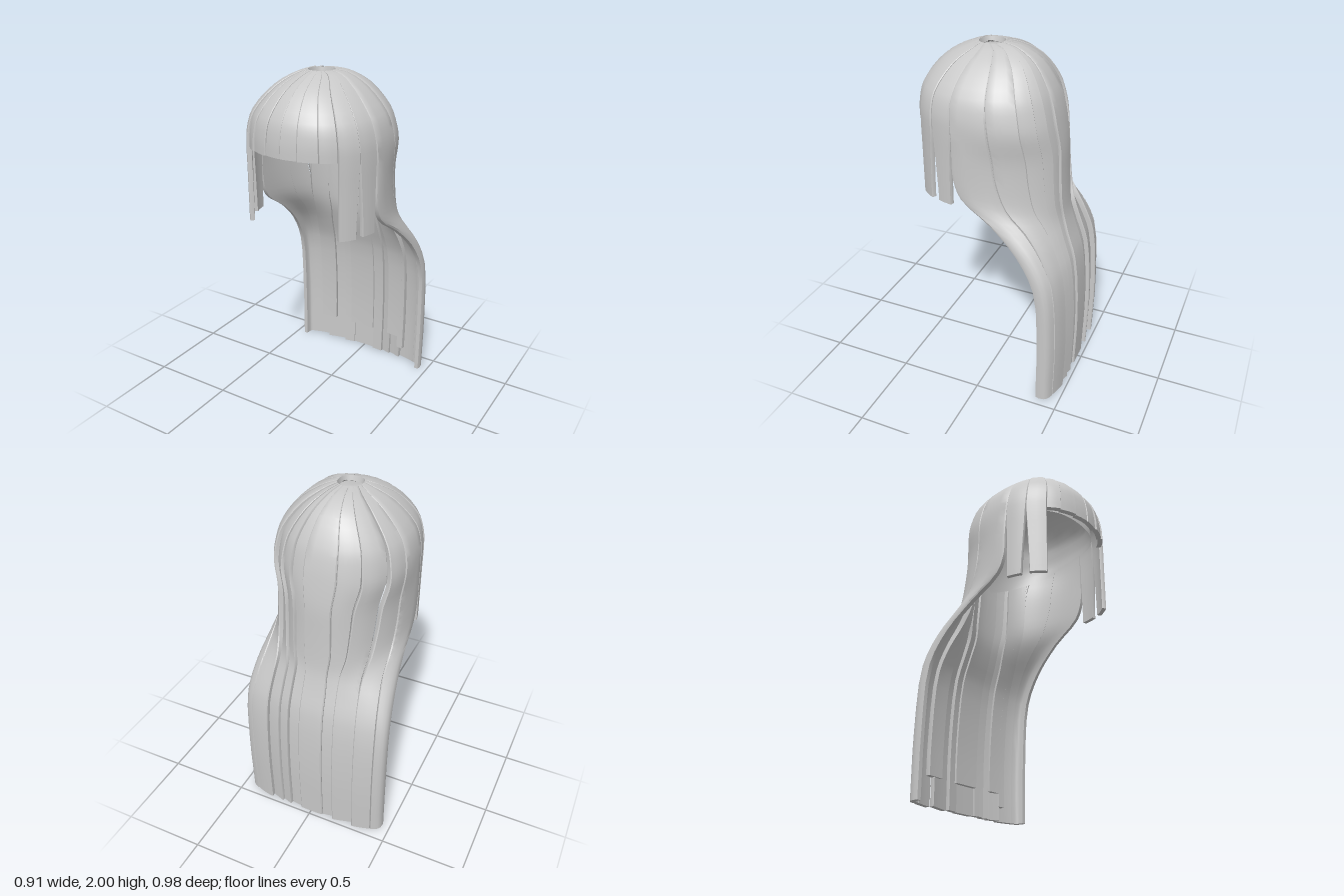
import * as THREE from 'three';
import { toCreasedNormals } from 'three/addons/utils/BufferGeometryUtils.js';

const RAD = Math.PI / 180;
const spow = (v, p) => Math.sign(v) * Math.pow(Math.abs(v), p);

// Dome rings from crown to temples: y, half width, back z, front z
const DOME = [
  [2.0, 0.07, 0.03, 0.17], [1.985, 0.13, -0.06, 0.22], [1.92, 0.237, -0.175, 0.35],
  [1.79, 0.352, -0.265, 0.46], [1.69, 0.385, -0.3, 0.485], [1.6, 0.393, -0.32, 0.49],
];
// Falling hair: side x, y, z, then back y, z, then roundness of the section
const FALL = [
  [0.394, 1.46, 0.17, 1.46, -0.342, 0.85], [0.395, 1.33, 0.165, 1.31, -0.35, 0.85],
  [0.398, 1.22, 0.12, 1.15, -0.36, 0.8], [0.41, 1.095, -0.06, 1.05, -0.372, 0.7],
  [0.433, 0.95, -0.22, 0.94, -0.402, 0.55], [0.452, 0.76, -0.33, 0.78, -0.452, 0.45],
  [0.455, 0.4, -0.36, 0.4, -0.484, 0.43], [0.453, 0, -0.36, 0, -0.48, 0.43],
];
const SIDE = 100; // angle from the back where falling hair meets the side locks

// Curve running down the hair at one angle (0 = back, 90 = model's left, 180 = front)
const cache = new Map();
function guide(deg, front) {
  const key = deg.toFixed(3) + front;
  if (cache.has(key)) return cache.get(key);
  const s = Math.sin(deg * RAD), c = Math.cos(deg * RAD);
  const pts = DOME.map(([y, r, zb, zf]) => new THREE.Vector3(
    r * spow(s, 0.85), y, (zb + zf) / 2 - (zf - zb) / 2 * spow(c, 0.85)));
  if (front) {
    const last = pts[pts.length - 1];
    for (const y of [1.46, 1.3, 1.17]) pts.push(new THREE.Vector3(last.x, y, last.z));
  } else {
    const a = deg / SIDE * Math.PI / 2;
    for (const [x, ys, zs, yb, zb, p] of FALL) {
      const k = spow(Math.cos(a), p);
      pts.push(new THREE.Vector3(x * spow(Math.sin(a), p > 0.75 ? 0.9 : 1), ys + (yb - ys) * k, zs + (zb - zs) * k));
    }
  }
  const curve = new THREE.CatmullRomCurve3(pts);
  cache.set(key, curve);
  return curve;
}

// Point on the hair, row measured in guide points, pushed out by lift
function hairPoint(deg, row, lift, front) {
  const at = (d, r) => {
    const g = guide(d, front);
    return g.getPoint(Math.min(1, Math.max(0, r / (g.points.length - 1))));
  };
  const across = at(deg + 0.5, row).sub(at(deg - 0.5, row));
  const down = at(deg, row + 0.05).sub(at(deg, row - 0.05));
  return at(deg, row).addScaledVector(across.cross(down).normalize(), lift);
}

// Closed ribbon following the hair; its edge angles drift to endFrom and endTo
function strandGeometry({ from, to, endFrom = from, endTo = to, start = 0, end, front = false,
  liftA = 0, liftB = 0, thick = 0.03 }) {
  const M = 6, R = Math.ceil((end - start) * 3), ring = 2 * M + 2;
  const pos = [], idx = [];
  const [driftStart, driftEnd] = front ? [4.5, 8] : [5, 10.5];
  for (let i = 0; i <= R; i++) {
    const row = start + (end - start) * i / R;
    const t = THREE.MathUtils.smoothstep(row, driftStart, driftEnd);
    const a = THREE.MathUtils.lerp(from, endFrom, t), b = THREE.MathUtils.lerp(to, endTo, t);
    const grow = Math.min(1, 0.1 + row / 5);
    for (let k = 0; k < ring; k++) {
      const outer = k <= M, j = outer ? k : 2 * M + 1 - k;
      // Columns crowd towards the edges so that the bevel stays narrow
      const u = [0, 0.04, 0.28, 0.5, 0.72, 0.96, 1][j];
      const bevel = j === 0 || j === M ? 0.006 : 0;
      const lift = (liftA + (liftB - liftA) * u) * grow - (outer ? bevel * grow : thick);
      pos.push(...hairPoint(a + (b - a) * u, row, lift, front).toArray());
    }
  }
  for (let i = 0; i < R; i++) for (let k = 0; k < ring; k++) {
    const a = i * ring + k, b = i * ring + (k + 1) % ring;
    idx.push(a, b, a + ring, b, b + ring, a + ring);
  }
  for (let j = 0; j < M; j++) {
    const o = R * ring, n = 2 * M + 1 - j;
    idx.push(o + j, o + j + 1, o + n, o + j + 1, o + n - 1, o + n);
    idx.push(j, n, j + 1, j + 1, n, n - 1);
  }
  const g = new THREE.BufferGeometry();
  g.setAttribute('position', new THREE.Float32BufferAttribute(pos, 3));
  g.setIndex(idx);
  return toCreasedNormals(g, 0.7);
}

// Inner cap: closed at the crown, dipping to a point at the nape
function capGeometry() {
  const N = 64, R = 16, pos = [], idx = [];
  for (let i = 0; i <= R; i++) for (let k = 0; k <= N; k++) {
    const deg = -180 + 360 * k / N, side = Math.min(1, Math.abs(deg) / SIDE);
    const f = i / R, front = Math.abs(deg) > SIDE;
    const p = hairPoint(deg, f * (6.5 - 1.6 * side), -0.03 - 0.04 * Math.min(1, 1.5 * f), front);
    if (i === 0) p.set(0, 1.972, 0.1);
    if (i === R) p.y = 1.39 + 0.23 * side;
    pos.push(...p.toArray());
  }
  for (let i = 0; i < R; i++) for (let k = 0; k < N; k++) {
    const a = i * (N + 1) + k, c = a + N + 1;
    idx.push(a, a + 1, c, a + 1, c + 1, c);
  }
  const g = new THREE.BufferGeometry();
  g.setAttribute('position', new THREE.Float32BufferAttribute(pos, 3));
  g.setIndex(idx);
  g.computeVertexNormals();
  return g;
}

export function createModel() {
  const model = new THREE.Group();
  model.name = 'longHair';
  const hair = new THREE.MeshStandardMaterial({ color: 0xc8c8c8, side: THREE.DoubleSide });
  hair.name = 'hairGrey';
  const add = (name, geometry) => {
    const mesh = new THREE.Mesh(geometry, hair);
    mesh.name = name;
    model.add(mesh);
  };

  add('innerCap', capGeometry());

  // Long strands over the back and sides: edge angles on the dome and at the tips
  const domeEdges = [-100, -76, -57, -32, -12, 10, 22, 34, 50, 76, 100];
  const tipEdges = [-100, -67, -42, -21, -11, 10, 20, 29, 42, 67, 100];
  const lifts = [[0, 0], [-0.002, 0.008], [-0.022, 0.003], [-0.022, -0.012], [-0.004, -0.004],
    [-0.016, -0.02], [0, -0.016], [0.002, -0.018], [0.008, -0.002], [0, 0]];
  lifts.forEach(([liftA, liftB], i) => add('backStrand' + (i + 1), strandGeometry({
    from: domeEdges[i], to: domeEdges[i + 1], endFrom: tipEdges[i], endTo: tipEdges[i + 1],
    end: 13, liftA, liftB,
  })));

  // Shorter strands under the back hair, starting beneath the cap
  [[-52, -32, 12.6], [-14, 10, 12.6], [27, 44, 12.6], [40, 48, 12.8]].forEach(([from, to, end], i) =>
    add('underStrand' + (i + 1), strandGeometry({
      from, to, end, start: 5, liftA: -0.028, liftB: -0.028,
    })));

  // Fringe
  const fringe = [137, 153, 170, 181, 193, 209, 223];
  for (let i = 0; i < fringe.length - 1; i++) {
    add('fringeStrand' + (i + 1), strandGeometry({
      from: fringe[i], to: fringe[i + 1], end: 5, front: true,
      liftA: i < 3 ? -0.006 : 0.003, liftB: i < 3 ? 0.003 : -0.006,
    }));
  }

  // Two locks hanging in front of each ear
  const locks = [
    ['frontLock', 118, 137, 121, 137, 0.008], ['earLock', 100, 118, 101, 114, 0],
  ];
  for (const [name, from, to, endFrom, endTo, lift] of locks) {
    const shared = { end: 8, front: true, liftA: lift, liftB: lift, thick: 0.025 };
    add(name + 'Left', strandGeometry({ from, to, endFrom, endTo, ...shared }));
    add(name + 'Right', strandGeometry({
      from: 360 - to, to: 360 - from, endFrom: 360 - endTo, endTo: 360 - endFrom, ...shared,
    }));
  }
  return model;
}
